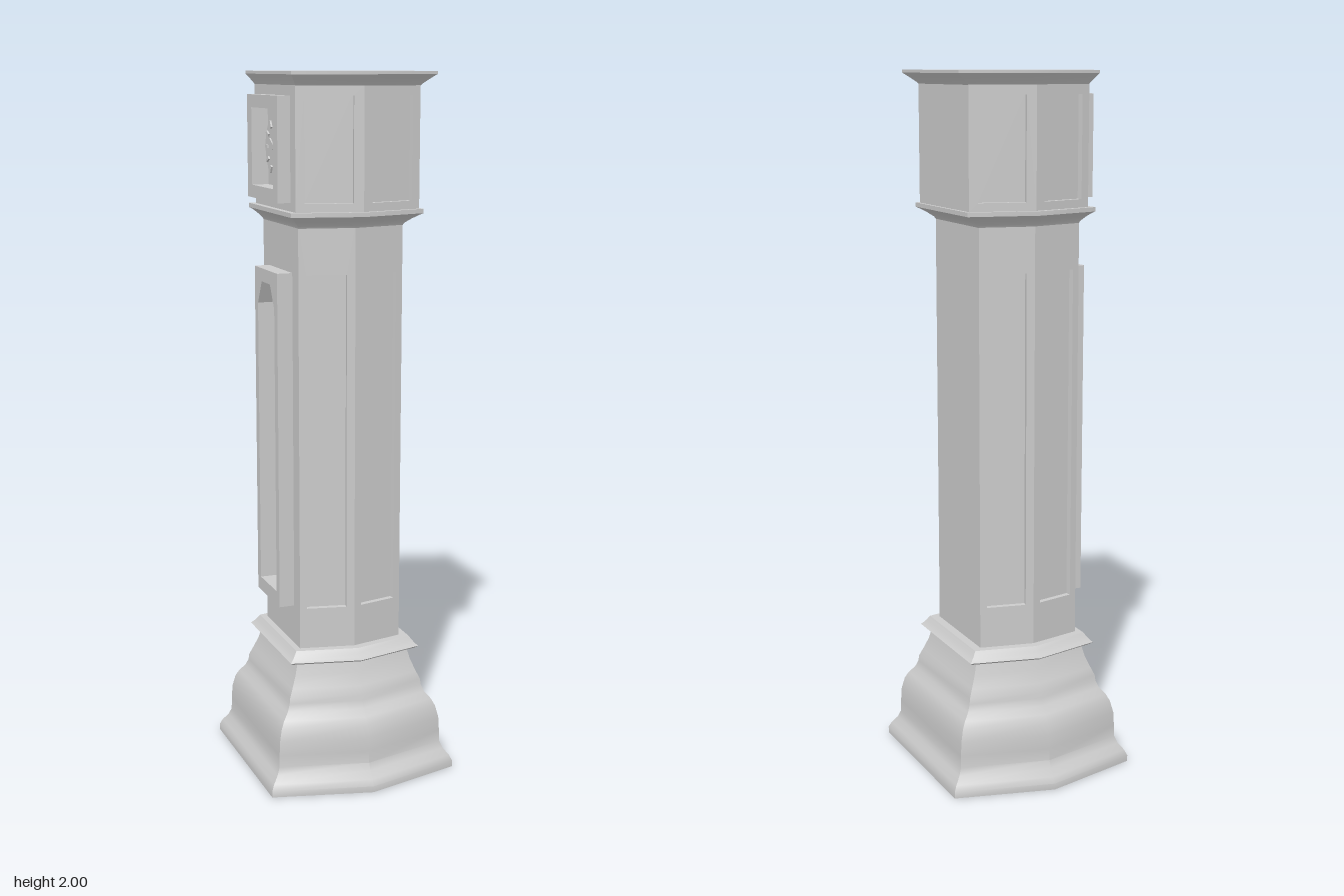
import * as THREE from 'three';
import { toCreasedNormals } from 'three/addons/utils/BufferGeometryUtils.js';

const material = new THREE.MeshStandardMaterial({ color: 0xcccccc });

function add(parent, name, geometry, x = 0, y = 0, z = 0) {
  const mesh = new THREE.Mesh(geometry, material);
  mesh.name = name;
  mesh.position.set(x, y, z);
  parent.add(mesh);
  return mesh;
}

// Six-sided plan: flat sides at +-x, shallow points at +-z. Returns [x, z] corners.
function plan(half, shift = 0) {
  const flat = 0.018 + 0.83 * half, apex = 0.004 + 1.14 * half;
  return [[-half, flat], [0, apex], [half, flat], [half, -flat], [0, -apex], [-half, -flat]]
    .map(([x, z]) => [x + shift, z]);
}

// Moulding: a stack of plan rings [y, halfWidth, shift], capped at both ends.
function moulding(rings) {
  const pos = [], idx = [];
  for (const [y, half, shift] of rings) {
    for (const [x, z] of plan(half, shift)) pos.push(x, y, z);
  }
  const n = rings.length, last = (n - 1) * 6, lowC = n * 6, topC = lowC + 1;
  pos.push(rings[0][2] || 0, rings[0][0], 0, rings[n - 1][2] || 0, rings[n - 1][0], 0);
  for (let i = 0; i < 6; i++) {
    const j = (i + 1) % 6;
    for (let r = 0; r < last; r += 6) {
      idx.push(r + i, r + j, r + 6 + j, r + i, r + 6 + j, r + 6 + i);
    }
    idx.push(lowC, j, i, topC, last + i, last + j);
  }
  const g = new THREE.BufferGeometry();
  g.setAttribute('position', new THREE.Float32BufferAttribute(pos, 3));
  g.setIndex(idx);
  return toCreasedNormals(g, 0.6);
}

const outline = (points, Type = THREE.Shape) => new Type(points.map(([x, y]) => new THREE.Vector2(x, y)));
const rect = (x0, y0, x1, y1) => [[x0, y0], [x1, y0], [x1, y1], [x0, y1]];

// Slab with its outer face at local z = 0, pierced by an optional hole.
function slab(outer, hole, depth) {
  const shape = outline(outer);
  if (hole) shape.holes.push(outline(hole, THREE.Path));
  return new THREE.ExtrudeGeometry(shape, { depth, bevelEnabled: false }).translate(0, 0, -depth);
}

// Case of six walls: recessed panels on the slanted walls, an opening in the -x wall.
function casing(name, half, shift, y0, y1, panel, opening) {
  const group = new THREE.Group();
  group.name = name;
  const corners = plan(half, shift);
  const t = 0.018;
  corners.forEach(([x, z], i) => {
    const [x2, z2] = corners[(i + 1) % 6];
    const length = Math.hypot(x2 - x, z2 - z);
    let hole = null;
    if (i === 5) hole = rect(length / 2 - opening, panel[0] + 0.01, length / 2 + opening, panel[1] - 0.01);
    else if (i !== 2) {
      const a = i % 3 === 0 ? 0.13 : 0.15;
      hole = rect(length * a, panel[0], length * (a + 0.72), panel[1]);
    }
    const wall = new THREE.Group();
    wall.name = 'wall';
    wall.position.set(x, 0, z);
    wall.rotation.y = Math.atan2(z - z2, x2 - x);
    add(wall, 'wallFrame', slab(rect(0, y0, length, y1), hole, t));
    if (hole && i !== 5) {
      const h = panel[1] - panel[0] + 0.02;
      add(wall, 'recessedPanel', new THREE.BoxGeometry(length * 0.74, h, 0.004),
        length * (a0(i) + 0.36), (panel[0] + panel[1]) / 2, -t);
    }
    group.add(wall);
  });
  return group;
}
const a0 = (i) => (i % 3 === 0 ? 0.13 : 0.15);

// Door frame standing proud of the -x side, with a plate closing the back.
function door(name, x, outer, hole, depth) {
  const group = new THREE.Group();
  group.name = name;
  group.position.x = x;
  group.rotation.y = -Math.PI / 2;
  add(group, 'doorFrame', slab(outer, hole, depth));
  add(group, 'backPlate', slab(outer, null, 0.004), 0, 0, -depth);
  return group;
}

export function createModel() {
  const clock = new THREE.Group();
  clock.name = 'longcaseClock';

  // Stepped plinth with bulging middle, topped by a thin flange
  add(clock, 'plinth', moulding([
    [0, 0.28], [0.018, 0.28], [0.035, 0.272], [0.055, 0.257], [0.075, 0.249], [0.11, 0.248],
    [0.15, 0.246], [0.185, 0.238], [0.205, 0.228], [0.225, 0.212], [0.245, 0.204], [0.262, 0.202],
    [0.285, 0.192], [0.32, 0.178], [0.36, 0.168],
  ]));
  add(clock, 'plinthFlange', moulding([
    [0.355, 0.17], [0.358, 0.19], [0.364, 0.197], [0.37, 0.19], [0.38, 0.182], [0.392, 0.174], [0.392, 0.15],
  ]));

  // Trunk with tall panels and a long door
  clock.add(casing('trunk', 0.153, -0.003, 0.385, 1.6, [0.51, 1.46], 0.085));
  clock.add(door('trunkDoor', -0.2, rect(-0.096, 0.505, 0.096, 1.462),
    [[-0.07, 0.545], [0.07, 0.545], [0.07, 1.36], [0.035, 1.425], [-0.035, 1.425], [-0.07, 1.36]], 0.12));

  // Flared moulding carrying the hood
  add(clock, 'hoodMoulding', moulding([
    [1.585, 0.152, -0.003], [1.593, 0.156, -0.002], [1.605, 0.17, 0.001], [1.615, 0.184, 0.004],
    [1.62, 0.193, 0.005], [1.632, 0.193, 0.005], [1.632, 0.17, 0.009],
  ]));

  // Hood with square panels, dial door and cornice
  clock.add(casing('hood', 0.18, 0.009, 1.63, 1.965, [1.655, 1.937], 0.1));
  const dialDoor = door('dialDoor', -0.207, rect(-0.127, 1.655, 0.127, 1.937),
    rect(-0.09, 1.69, 0.09, 1.902), 0.048);
  clock.add(dialDoor);
  add(clock, 'cornice', moulding([
    [1.96, 0.178, 0.009], [1.968, 0.184, 0.011], [1.98, 0.196, 0.015], [1.992, 0.209, 0.019], [2, 0.209, 0.019],
  ]));

  // Dial with hour marks and hands
  const dial = new THREE.Group();
  dial.name = 'dial';
  dial.position.set(0, 1.796, -0.045);
  add(dial, 'dialDisc', new THREE.CylinderGeometry(0.088, 0.088, 0.01, 32).rotateX(Math.PI / 2));
  for (let i = 0; i < 12; i++) {
    const mark = new THREE.BoxGeometry(0.008, 0.02, 0.006).translate(0, 0.07, 0.007);
    add(dial, 'hourMark', mark.rotateZ(i * Math.PI / 6));
  }
  for (const [name, length, angle] of [['hourHand', 0.04, 1], ['minuteHand', 0.06, -0.9]]) {
    add(dial, name, new THREE.BoxGeometry(0.006, length, 0.004).translate(0, length / 2, 0.011).rotateZ(angle));
  }
  add(dial, 'handPin', new THREE.CylinderGeometry(0.007, 0.007, 0.012, 12).rotateX(Math.PI / 2), 0, 0, 0.01);
  dialDoor.add(dial);

  return clock;
}
